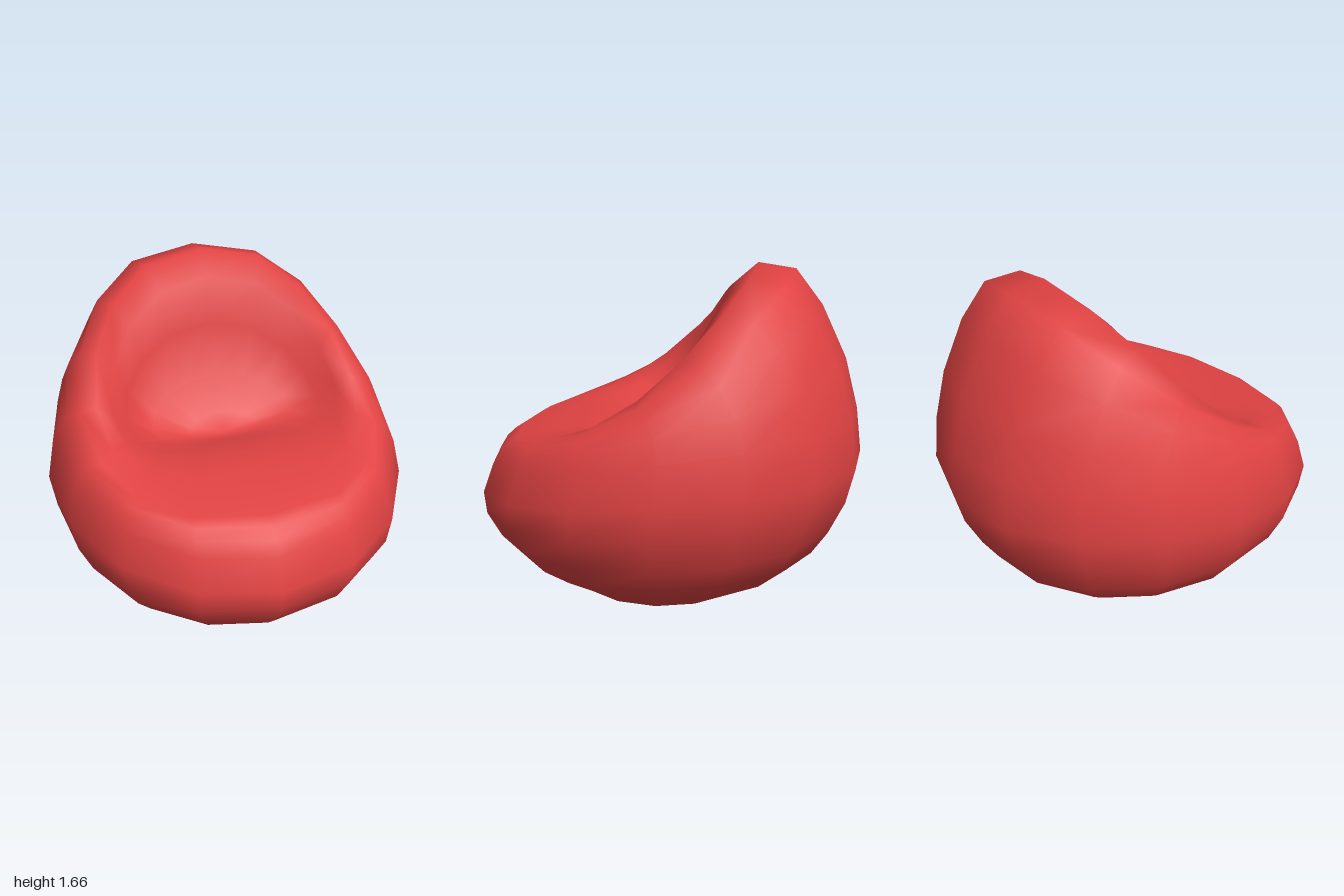
import * as THREE from 'three';

const SIDES = 16;

// Each ring: half width, side y, front z, front y, back z, back y, squareness power
const RINGS = [
  // underside and outer wall
  [0.52, 0.005, 0.54, 0.0, -0.47, 0.01, 1],
  [0.65, 0.1, 0.68, 0.07, -0.67, 0.1, 1],
  [0.76, 0.2, 0.82, 0.16, -0.8, 0.22, 1],
  [0.845, 0.33, 0.92, 0.27, -0.88, 0.35, 0.95],
  [0.91, 0.49, 0.99, 0.4, -0.96, 0.52, 0.95],
  [0.935, 0.66, 1.0, 0.51, -1.0, 0.69, 0.95],
  [0.895, 0.85, 0.94, 0.66, -0.97, 0.92, 0.93],
  [0.855, 0.95, 0.9, 0.725, -0.9, 1.18, 0.9],
  [0.81, 1.02, 0.85, 0.77, -0.77, 1.45, 0.85],
  // rounded rim
  [0.75, 1.06, 0.8, 0.8, -0.63, 1.63, 0.8],
  [0.67, 1.08, 0.63, 0.83, -0.44, 1.66, 0.8],
  // seat hollow and backrest
  [0.59, 1.03, 0.47, 0.855, -0.3, 1.54, 0.85],
  [0.52, 0.94, 0.32, 0.855, -0.28, 1.3, 0.9],
  [0.38, 0.86, 0.18, 0.825, -0.17, 1.04, 0.95],
  [0.19, 0.81, 0.1, 0.8, -0.06, 0.87, 1],
];

function ringPoint([halfWidth, sideY, frontZ, frontY, backZ, backY, power], j) {
  const a = (j / SIDES) * Math.PI * 2;
  const s = Math.sin(a), c = Math.cos(a);
  const x = halfWidth * Math.sign(s) * Math.pow(Math.abs(s), power);
  const y = sideY + c * (frontY - backY) / 2 + c * c * ((frontY + backY) / 2 - sideY);
  const z = (frontZ + backZ) / 2 + c * (frontZ - backZ) / 2;
  return [x, y, z];
}

function cushionGeometry() {
  const positions = [], index = [];
  for (const ring of RINGS) {
    for (let j = 0; j < SIDES; j++) positions.push(...ringPoint(ring, j));
  }
  const bottom = RINGS.length * SIDES, dip = bottom + 1;
  positions.push(0, 0, 0.03, 0, 0.79, 0.02);

  const last = (RINGS.length - 1) * SIDES;
  for (let j = 0; j < SIDES; j++) {
    const k = (j + 1) % SIDES;
    index.push(bottom, k, j);
    for (let i = 0; i < last; i += SIDES) {
      index.push(i + j, i + k, i + SIDES + k, i + j, i + SIDES + k, i + SIDES + j);
    }
    index.push(last + j, last + k, dip);
  }

  const geometry = new THREE.BufferGeometry();
  geometry.setAttribute('position', new THREE.Float32BufferAttribute(positions, 3));
  geometry.setIndex(index);
  geometry.computeVertexNormals();
  return geometry;
}

export function createModel() {
  const group = new THREE.Group();
  group.name = 'beanBagChair';

  const red = new THREE.MeshStandardMaterial({ color: 0xe04242 });
  red.name = 'red fabric';

  const cushion = new THREE.Mesh(cushionGeometry(), red);
  cushion.name = 'cushion';
  group.add(cushion);
  return group;
}
